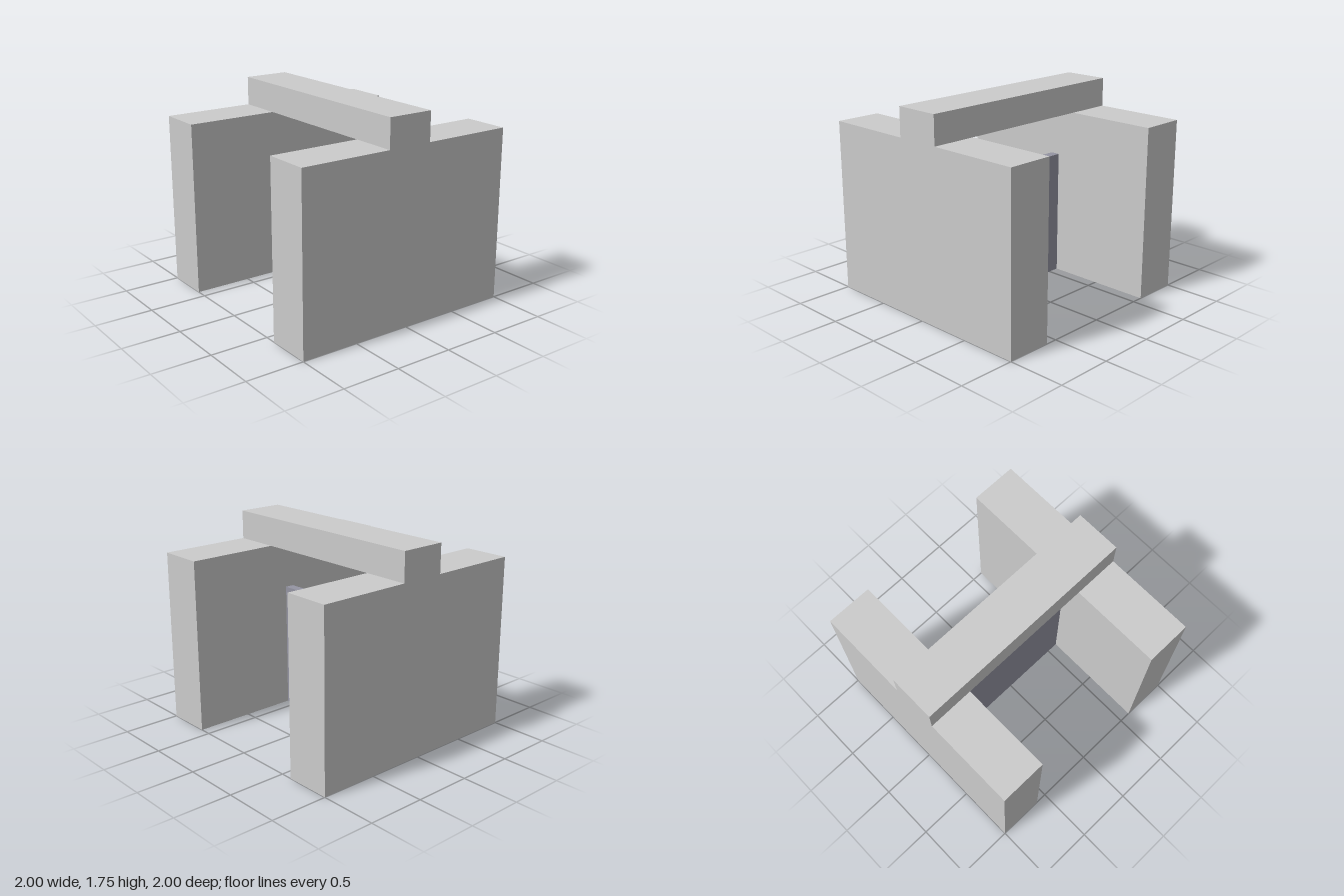
import * as THREE from 'three';

export function createModel() {
  const model = new THREE.Group();
  model.name = 'sluiceGate';
  const stone = new THREE.MeshStandardMaterial({ color: 0xcccccc });
  const metal = new THREE.MeshStandardMaterial({ color: 0x9494a2 });

  // Box whose base sits at height y
  const block = (name, [w, h, d], x, y, material) => {
    const mesh = new THREE.Mesh(new THREE.BoxGeometry(w, h, d), material);
    mesh.name = name;
    mesh.position.set(x, y + h / 2, 0);
    model.add(mesh);
  };

  // Side walls
  for (const [name, side] of [['leftWall', 1], ['rightWall', -1]]) {
    block(name, [0.4, 1.5, 2], side * 0.8, 0, stone);
  }

  // Beam across the wall tops
  block('crossBeam', [2, 0.25, 0.4], 0, 1.5, stone);

  // Thin gate panel between the walls
  block('gatePanel', [1.2, 1.1, 0.08], 0, 0, metal);

  return model;
}
